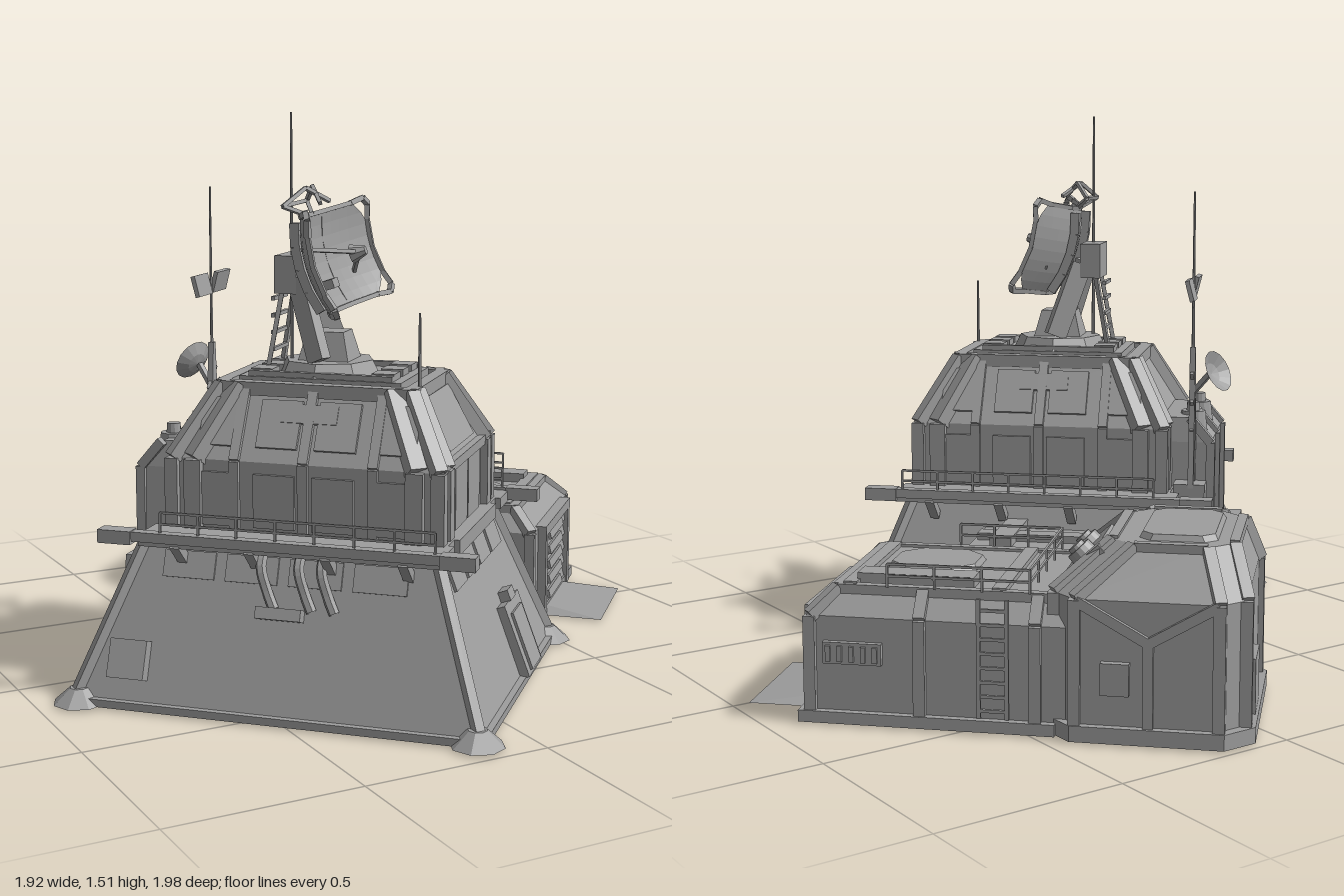
import * as THREE from 'three';

const mat = new THREE.MeshStandardMaterial({ color: 0x9e9e9e, flatShading: true, side: THREE.DoubleSide });
const V = (x, y, z) => new THREE.Vector3(x, y, z);
const UP = V(0, 1, 0);

export function createModel() {
  const root = new THREE.Group(), site = new THREE.Group();
  site.name = 'base';
  site.rotation.y = Math.PI / 4; // the whole site stands diagonally
  root.add(site);
  let parent = site;

  const group = (name, fn) => {
    const g = new THREE.Group(), old = parent;
    g.name = name; old.add(g); parent = g; fn(g); parent = old;
  };
  const add = (name, geo) => {
    const m = new THREE.Mesh(geo, mat);
    m.name = name; parent.add(m);
    return m;
  };
  // box from centre and size, optionally tilted
  const box = (name, x, y, z, w, h, d, rx = 0, rz = 0) => {
    const m = add(name, new THREE.BoxGeometry(w, h, d));
    m.position.set(x, y, z); m.rotation.set(rx, 0, rz);
    return m;
  };
  // block from bounds, top drawn in by [-x, +x, -z, +z], upright corners cut by c
  const taper = (name, x0, x1, y0, y1, z0, z1, [a, b, e, f] = [0, 0, 0, 0], c = 0) => {
    const g = c ? new THREE.CylinderGeometry(1, 1, 2, 8, 1, false, Math.PI / 8) : new THREE.BoxGeometry(2, 2, 2);
    const p = g.attributes.position;
    const place = (v, lo, hi) => Math.abs(v) < 0.01 ? (lo + hi) / 2 : v > 0 ? hi - (v < 0.5 ? c : 0) : lo + (v > -0.5 ? c : 0);
    for (let i = 0; i < p.count; i++) {
      const t = p.getY(i) > 0 ? 1 : 0;
      p.setXYZ(i, place(p.getX(i), x0 + a * t, x1 - b * t), t ? y1 : y0, place(p.getZ(i), z0 + e * t, z1 - f * t));
    }
    g.computeVertexNormals();
    return add(name, g);
  };
  const beam = (name, a, b, w, h = w) => {
    const m = add(name, new THREE.BoxGeometry(w, h, a.distanceTo(b)));
    m.position.copy(a).lerp(b, 0.5);
    m.quaternion.setFromRotationMatrix(new THREE.Matrix4().lookAt(b, a, UP));
  };
  const chain = (name, pts, w) => pts.slice(1).forEach((p, i) => beam(name, pts[i], p, w));
  const cyl = (name, x, y, z, r0, r1, h, rx = 0, n = 12) => {
    const m = add(name, new THREE.CylinderGeometry(r0, r1, h, n));
    m.position.set(x, y, z); m.rotation.x = rx;
  };
  const rail = (pts, h = 0.06) => group('railing', () => pts.slice(1).forEach((b, i) => {
    const a = pts[i], n = Math.round(a.distanceTo(b) / 0.11);
    for (const k of [0.5, 1]) beam('railBar', a.clone().setY(a.y + h * k), b.clone().setY(b.y + h * k), 0.006);
    for (let j = 0; j <= n; j++) { const p = a.clone().lerp(b, j / n); beam('railPost', p, V(p.x, p.y + h, p.z), 0.006); }
  }));

  // ---- sloped lower block ----
  const S = 0.36; // slope angle of its walls
  group('lowerBlock', () => {
    taper('plinth', -0.78, 0.15, 0, 0.02, -0.53, 0.57);
    taper('slopedWalls', -0.77, 0.135, 0, 0.41, -0.52, 0.56, [0.15, 0.15, 0.15, 0.15]);
    for (const [x, sx] of [[-0.77, 1], [0.135, -1]]) for (const [z, sz] of [[-0.52, 1], [0.56, -1]]) {
      beam('cornerRib', V(x, 0, z), V(x + sx * 0.15, 0.41, z + sz * 0.15), 0.025);
      cyl('cornerFoot', x + sx * 0.015, 0.02, z + sz * 0.015, 0.025, 0.07, 0.04, 0, 8);
    }
    // entrance on the front slope
    box('doorFrame', -0.2, 0.105, 0.52, 0.17, 0.2, 0.05, -S);
    box('door', -0.2, 0.1, 0.535, 0.11, 0.16, 0.04, -S);
    box('doorLamp', -0.2, 0.215, 0.49, 0.06, 0.03, 0.04, -S);
    // window strips below the deck, side hatch, vent and pipes
    for (let i = 0; i < 4; i++) {
      box('slopeWindow', -0.52 + i * 0.135, 0.355, 0.43, 0.115, 0.07, 0.015, -S);
      box('slopeWindow', -0.638, 0.355, -0.24 + i * 0.17, 0.015, 0.07, 0.14, 0, -S);
    }
    box('sideHatch', -0.735, 0.12, -0.37, 0.05, 0.1, 0.1, 0, -S);
    box('sideVent', -0.69, 0.26, 0.02, 0.04, 0.03, 0.12, 0, -S);
    for (const z of [-0.04, 0.06, 0.12]) add('pipe', new THREE.TubeGeometry(new THREE.CatmullRomCurve3(
      [V(-0.63, 0.41, z), V(-0.66, 0.37, z), V(-0.67, 0.31, z + 0.02), V(-0.68, 0.27, z + 0.04)]), 10, 0.014, 6));
    // rear service block
    taper('rearBlock', -0.45, 0.25, 0, 0.31, -0.53, -0.3, [0.01, 0, 0.02, 0]);
    box('rearDoor', -0.07, 0.12, -0.53, 0.2, 0.2, 0.02);
    for (const [x, y] of [[-0.33, 0.17], [0.14, 0.2]]) box('rearPanel', x, y, -0.53, 0.07, 0.06, 0.02);
  });

  // ---- side decks ----
  for (const s of [-1, 1]) group('sideDeck', () => {
    const cx = -0.305, x = cx + s * 0.385;
    box('deckFloor', cx + s * 0.33, 0.425, 0.04, 0.12, 0.03, 0.8);
    box('deckBeam', x, 0.435, 0.03, 0.03, 0.025, 0.94);
    for (const z of [-0.42, 0.48]) box('deckEndPod', x, 0.432, z, 0.045, 0.035, 0.09);
    for (let i = 0; i < 4; i++) beam('deckBracket', V(cx + s * 0.32, 0.36, -0.26 + i * 0.2), V(x, 0.42, -0.26 + i * 0.2), 0.025);
    rail([V(x, 0.44, -0.3), V(x, 0.44, 0.42)]);
  });

  // ---- faceted upper hall ----
  group('upperHall', () => {
    const [x0, x1, z0, z1, d] = [-0.575, -0.035, -0.31, 0.40, 0.1];
    taper('hallWalls', x0, x1, 0.4, 0.62, z0, z1);
    taper('hallRoof', x0, x1, 0.62, 0.8, z0, z1, [d, d, d, d]);
    box('hallFloor', -0.305, 0.425, 0.045, 0.6, 0.03, 0.76);
    // ribs follow the wall and then lean in with the roof
    for (const [x, s] of [[x0, 1], [x1, -1]]) {
      for (const z of [-0.14, 0.045, 0.23]) chain('sideRib', [V(x, 0.42, z), V(x, 0.62, z), V(x + s * d, 0.8, z)], 0.026);
      for (const [z, t] of [[z0, 1], [z1, -1]]) {
        chain('cornerArch', [V(x, 0.42, z), V(x, 0.62, z), V(x + s * d, 0.8, z + t * d)], 0.035);
        chain('sideArch', [V(x, 0.42, z + t * 0.06), V(x, 0.62, z + t * 0.06), V(x + s * d, 0.8, z + t * 0.15)], 0.045);
        chain('endArch', [V(x + s * 0.06, 0.42, z), V(x + s * 0.06, 0.62, z), V(x + s * 0.14, 0.8, z + t * d)], 0.04);
      }
      for (let i = 0; i < 4; i++) {
        box('sideWindow', x, 0.52, -0.19 + i * 0.157, 0.02, 0.14, 0.11);
        box('roofWindow', x + s * 0.05, 0.71, -0.19 + i * 0.157, 0.02, 0.13, 0.11, 0, -s * 0.5);
      }
      box('archBlock', x + s * 0.075, 0.73, 0.045, 0.05, 0.05, 0.15, 0, -s * 0.5);
      beam('roofEdge', V(x + s * d, 0.795, z0 + d), V(x + s * d, 0.795, z1 - d), 0.035);
    }
    for (const z of [z0 + d, z1 - d]) beam('roofEdge', V(x0 + d, 0.795, z), V(x1 - d, 0.795, z), 0.035);
    for (const x of [-0.375, -0.235]) box('frontWindow', x, 0.53, z1, 0.13, 0.17, 0.02);
    beam('frontBand', V(x0, 0.62, z1), V(x1, 0.62, z1), 0.025);
    box('frontRoofPanel', -0.305, 0.71, 0.35, 0.26, 0.15, 0.02, -0.5);
    box('frontSill', -0.305, 0.42, 0.42, 0.42, 0.04, 0.04);
    // rear bay with two round caps
    taper('rearBay', -0.49, -0.12, 0.3, 0.57, -0.44, -0.28, [0.01, 0.01, 0, 0]);
    taper('rearBayRoof', -0.48, -0.13, 0.57, 0.64, -0.44, -0.28, [0.01, 0.01, 0.06, 0]);
    for (const x of [-0.48, -0.305, -0.13]) chain('bayRib', [V(x, 0.3, -0.44), V(x, 0.57, -0.44), V(x, 0.64, -0.38)], 0.025);
    for (const x of [-0.4, -0.22]) {
      cyl('roundCap', x, 0.62, -0.38, 0.035, 0.042, 0.06);
      cyl('capKnob', x, 0.66, -0.38, 0.018, 0.02, 0.03);
    }
    // roof plant
    box('roofSlab', -0.305, 0.805, 0.045, 0.28, 0.03, 0.44);
    for (const z of [-0.12, 0.21]) for (const x of [-0.39, -0.305, -0.22]) box('roofUnit', x, 0.825, z, 0.06, 0.025, 0.06);
    for (const x of [-0.43, -0.18]) beam('roofPipe', V(x, 0.825, -0.15), V(x, 0.825, 0.24), 0.018);
  });

  // ---- dish on its mount ----
  group('dishMount', () => {
    cyl('turntable', -0.305, 0.835, 0.03, 0.12, 0.14, 0.04, 0, 8);
    taper('pedestal', -0.365, -0.245, 0.85, 0.93, -0.04, 0.1, [0.02, 0.02, 0.02, 0.02]);
    for (const s of [-1, 1]) {
      beam('yokeArm', V(-0.305 + s * 0.09, 0.86, 0.03), V(-0.305 + s * 0.05, 1.07, -0.04), 0.03, 0.06);
      beam('yokeStrut', V(-0.305 + s * 0.06, 0.84, -0.12), V(-0.305 + s * 0.05, 1.06, -0.08), 0.012);
    }
    for (let i = 0; i < 4; i++) beam('strutRung', V(-0.36, 0.88 + i * 0.045, -0.11), V(-0.25, 0.88 + i * 0.045, -0.11), 0.01);
    box('driveBox', -0.305, 1.08, -0.07, 0.14, 0.1, 0.06);
  });
  group('dish', (g) => {
    g.position.set(-0.3, 1.1, -0.015);
    g.rotation.set(-0.3, 0, 0.02);
    const bowl = (x, y) => 1.25 * x * x + 1.5 * y * y, at = (x, y) => V(x, y, bowl(x, y));
    const geo = new THREE.PlaneGeometry(0.53, 0.26, 16, 8), p = geo.attributes.position;
    for (let i = 0; i < p.count; i++) { // corners are cut off
      const y = p.getY(i), x = Math.sign(p.getX(i)) * Math.min(Math.abs(p.getX(i)), 0.345 - Math.abs(y));
      p.setXYZ(i, x, y, bowl(x, y));
    }
    geo.computeVertexNormals();
    add('dishPanel', geo);
    for (const s of [-1, 1]) {
      chain('dishRim', [-0.21, -0.1, 0, 0.1, 0.21].map(x => at(x, s * 0.13)), 0.012);
      chain('dishRim', [-0.08, 0, 0.08].map(y => at(s * 0.265, y)), 0.012);
      chain('dishBackRib', [-0.12, -0.06, 0, 0.06, 0.12].map(y => at(s * 0.1, y).add(V(0, 0, -0.015))), 0.025);
      for (const t of [-1, 1]) chain('cornerBracket', [at(s * 0.21, t * 0.13), at(s * 0.25, t * 0.135), at(s * 0.268, t * 0.115), at(s * 0.265, t * 0.075)], 0.014);
      beam('feedArm', at(s * 0.18, -s * 0.05), V(0, 0, 0.13), 0.01);
      chain('topFrame', [V(s * 0.02, 0.13, 0.03), V(s * 0.1, 0.17, 0), V(s * 0.03, 0.2, 0.05), V(s * -0.04, 0.15, 0.08)], 0.01);
    }
    beam('topFrameBar', V(-0.1, 0.17, 0), V(0.1, 0.17, 0), 0.01);
    cyl('feedHorn', 0, 0, 0.13, 0.012, 0.026, 0.04, Math.PI / 2, 8);
    box('receiver', 0, -0.06, 0.03, 0.05, 0.025, 0.03);
  });

  // ---- antennas ----
  group('antennas', () => {
    const [mx, mz] = [-0.09, -0.39];
    cyl('tallAntenna', -0.333, 1.17, -0.065, 0.003, 0.005, 0.66, 0, 6);
    cyl('shortAntenna', -0.43, 0.9, 0.31, 0.003, 0.005, 0.2, 0, 6);
    cyl('rearMast', mx, 0.87, mz, 0.003, 0.006, 0.84, 0, 6);
    taper('mastBase', mx - 0.035, mx + 0.035, 0.3, 0.46, mz - 0.04, mz + 0.05);
    for (const s of [-1, 1]) {
      beam('mastLeg', V(mx + s * 0.03, 0.45, mz), V(mx, 0.85, mz), 0.016);
      box('mastPanel', mx + s * 0.07, 1.02, mz, 0.1, 0.06, 0.012, s * 0.25);
    }
    for (let i = 0; i < 4; i++) beam('mastBrace', V(mx - 0.028, 0.48 + i * 0.08, mz), V(mx + 0.025, 0.54 + i * 0.08, mz), 0.01);
    beam('smallDishArm', V(mx, 0.72, mz), V(mx + 0.03, 0.78, mz - 0.05), 0.014);
    const dish = add('smallDish', new THREE.LatheGeometry([[0, 0], [0.03, 0.006], [0.06, 0.025]].map(q => new THREE.Vector2(...q)), 14));
    dish.position.set(mx + 0.03, 0.78, mz - 0.055);
    dish.rotation.set(-1.1, 0, -0.4);
  });

  // ---- link between the two buildings ----
  group('link', () => {
    taper('linkBody', -0.06, 0.28, 0, 0.33, -0.5, 0.21, [0, 0, 0.02, 0.02]);
    box('linkRoofRib', 0.15, 0.335, -0.12, 0.05, 0.03, 0.6);
    for (const z of [-0.42, 0.1]) box('linkCrossRib', 0.12, 0.34, z, 0.26, 0.03, 0.06);
  });

  // ---- low garage ----
  group('garage', () => {
    const [x0, x1] = [0.25, 0.785];
    taper('garagePlinth', 0.235, 0.805, 0, 0.03, -0.15, 0.5);
    taper('garageWalls', x0, x1, 0, 0.27, -0.2, 0.48);
    taper('garageRoof', x0, x1, 0.27, 0.335, -0.2, 0.48, [0.05, 0.05, 0, 0.07]);
    for (const [x, s] of [[x0, 1], [x1, -1]]) {
      for (const z of [0.47, 0.19, -0.1]) chain('garageRib', [V(x, 0, z), V(x, 0.27, z), V(x + s * 0.05, 0.33, Math.min(z, 0.41))], 0.03);
      beam('roofEdge', V(x + s * 0.05, 0.33, -0.15), V(x + s * 0.05, 0.33, 0.41), 0.025);
    }
    beam('frontEdge', V(0.3, 0.33, 0.41), V(0.735, 0.33, 0.41), 0.025);
    // shutter door and ramp
    for (const x of [0.335, 0.705]) box('doorPost', x, 0.135, 0.485, 0.03, 0.27, 0.04);
    box('doorLintel', 0.52, 0.262, 0.485, 0.4, 0.03, 0.04);
    for (let i = 0; i < 5; i++) {
      box('shutterSlat', 0.52, 0.045 + i * 0.046, 0.478, 0.34, 0.04, 0.025, -0.25);
      box('shutterBoss', 0.52, 0.04 + i * 0.046, 0.488, 0.2, 0.025, 0.025, -0.25);
    }
    taper('ramp', 0.34, 0.69, 0, 0.02, 0.47, 0.67, [0.04, 0.04, 0, 0.17]);
    // roof hatch, duct and railing
    taper('roofHatch', 0.36, 0.58, 0.33, 0.35, 0.1, 0.34, [0.01, 0.01, 0.01, 0.01], 0.05);
    box('roofDuct', 0.67, 0.345, 0.22, 0.07, 0.035, 0.3);
    for (const z of [0, 0.38]) box('roofCrossRib', 0.52, 0.335, z, 0.43, 0.025, 0.035);
    rail([V(0.29, 0.34, 0.2), V(0.29, 0.34, -0.08), V(0.75, 0.34, -0.08), V(0.75, 0.34, 0.28)]);
    // side louvre and ladder
    box('sideLouvre', 0.79, 0.18, 0.36, 0.02, 0.055, 0.15);
    for (let i = 0; i < 5; i++) box('louvreFin', 0.8, 0.18, 0.3 + i * 0.03, 0.015, 0.04, 0.012);
    for (const z of [-0.035, 0.035]) box('ladderRail', 0.815, 0.19, z, 0.01, 0.3, 0.01);
    for (let i = 0; i < 8; i++) box('ladderRung', 0.815, 0.06 + i * 0.036, 0, 0.008, 0.008, 0.07);
  });

  // ---- tall rear module ----
  group('rearModule', () => {
    const [x0, x1, z0, z1, c] = [0.25, 0.81, -0.61, -0.14, 0.06];
    taper('modulePlinth', 0.235, 0.83, 0, 0.04, -0.635, -0.12, [0, 0, 0, 0], 0.07);
    taper('moduleWalls', x0, x1, 0, 0.35, z0, z1, [0, 0, 0, 0], c);
    taper('moduleRoof', x0, x1, 0.35, 0.465, z0, z1, [0.04, 0.1, 0.04, 0.13], c);
    for (const [x, s, dx] of [[x0, 1, 0.04], [x1, -1, -0.1]]) {
      for (const [z, t, dz] of [[z0, 1, 0.04], [z1, -1, -0.13]]) {
        chain('sideArch', [V(x, 0, z + t * c), V(x, 0.35, z + t * c), V(x + dx, 0.46, z + dz + t * c)], 0.03);
        chain('endArch', [V(x + s * c, 0, z), V(x + s * c, 0.35, z), V(x + dx + s * c, 0.46, z + dz)], 0.03);
      }
      beam('moduleEdge', V(x + dx, 0.46, z0 + 0.1), V(x + dx, 0.46, z1 - 0.19), 0.025);
    }
    for (const z of [z0 + 0.04, z1 - 0.13]) beam('moduleEdge', V(0.35, 0.46, z), V(0.65, 0.46, z), 0.025);
    taper('roofPanel', 0.34, 0.66, 0.46, 0.48, -0.53, -0.33, [0.01, 0.01, 0.01, 0.01], 0.03);
    // branching ribs and hatch on the outer side
    for (const [y, z] of [[0.35, z0 + c], [0.35, z1 - c], [0.04, -0.38]]) beam('sideRib', V(x1, 0.25, -0.38), V(x1, y, z), 0.025);
    box('sideHatch', 0.815, 0.16, -0.3, 0.03, 0.08, 0.07);
    // headlights on the front slope
    box('lampPanel', 0.57, 0.41, -0.205, 0.24, 0.11, 0.025, -0.85);
    for (const x of [0.52, 0.63]) {
      cyl('lampHousing', x, 0.41, -0.2, 0.034, 0.038, 0.06, 0.75, 16);
      cyl('lampLens', x, 0.43, -0.18, 0.022, 0.022, 0.025, 0.75, 16);
    }
    box('backDoor', 0.6, 0.1, -0.615, 0.13, 0.16, 0.025);
  });

  return root;
}
